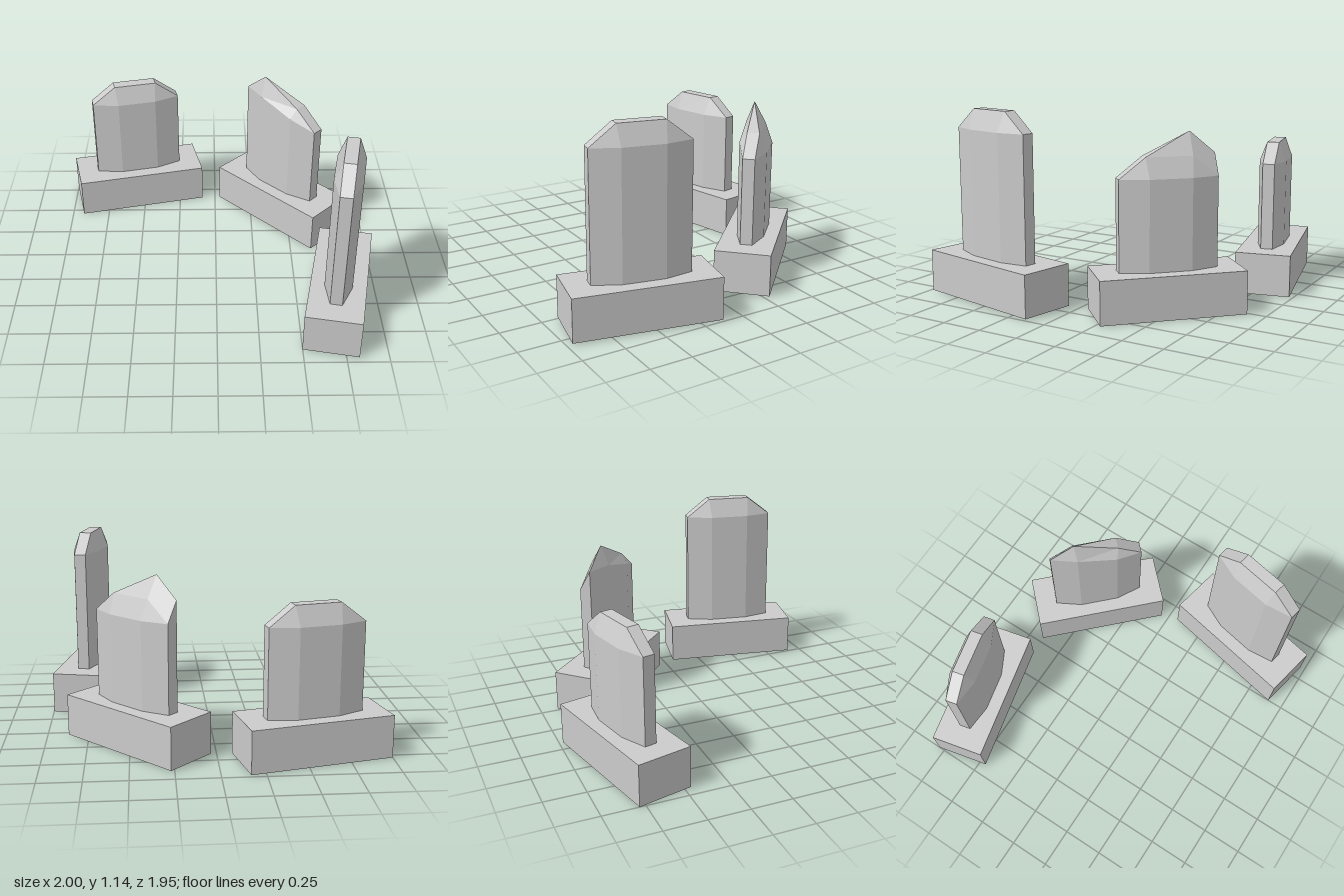
import * as THREE from 'three';

const material = new THREE.MeshStandardMaterial({ color: 0xcccccc, flatShading: true });

const BASE = { length: 0.856, height: 0.255, width: 0.335 };

// Slab plan [x, z], counter-clockwise from above, and the smaller flat at the top
const PLAN = [
  [0.29, 0.036], [0.29, -0.036], [0.125, -0.083], [-0.125, -0.083],
  [-0.29, -0.036], [-0.29, 0.036], [-0.125, 0.083], [0.125, 0.083],
];
const CROWN = [[0.138, 0.037], [0.138, -0.037], [-0.138, -0.037], [-0.138, 0.037]];
const CROWN_OF = [0, 1, 1, 2, 2, 3, 3, 0]; // crown corner above each plan corner

// Upright slab with sloped shoulders; the lift lists raise single corners
function slabGeometry(bottom, shoulder, top, shoulderLift = [], crownLift = []) {
  const low = PLAN.map(([x, z]) => [x, bottom, z]);
  const mid = PLAN.map(([x, z], i) => [x, shoulder + (shoulderLift[i] || 0), z]);
  const crown = CROWN.map(([x, z], i) => [x, top + (crownLift[i] || 0), z]);
  const points = [];
  const tri = (a, b, c) => points.push(...a, ...b, ...c);

  for (let i = 0; i < PLAN.length; i++) {
    const j = (i + 1) % PLAN.length;
    const a = crown[CROWN_OF[i]], b = crown[CROWN_OF[j]];
    // wall
    tri(low[i], low[j], mid[j]);
    tri(low[i], mid[j], mid[i]);
    // shoulder
    tri(mid[i], mid[j], b);
    if (a !== b) tri(mid[i], b, a);
  }
  // flat top
  tri(crown[3], crown[0], crown[1]);
  tri(crown[3], crown[1], crown[2]);

  const geometry = new THREE.BufferGeometry();
  geometry.setAttribute('position', new THREE.Float32BufferAttribute(points, 3));
  geometry.computeVertexNormals();
  return geometry;
}

// Three stones set in an arc; the middle one has a skewed, pointed corner
const STONES = [
  { name: 'lowStone', at: [-0.545, 0, -0.718], turn: 0.224, shoulder: 0.785, top: 0.902 },
  {
    name: 'pointedStone', at: [0.453, 0.002, -0.47], turn: -0.789, shoulder: 0.785, top: 0.903,
    shoulderLift: [0, 0, 0, 0, 0, 0.123, 0.123, 0.055], crownLift: [0, 0, 0, 0.132],
  },
  { name: 'tallStone', at: [0.746, 0.008, 0.516], turn: -1.772, shoulder: 1.012, top: 1.132 },
];

export function createModel() {
  const model = new THREE.Group();
  model.name = 'standingStones';
  for (const s of STONES) {
    const stone = new THREE.Group();
    stone.name = s.name;
    stone.position.set(...s.at);
    stone.rotation.y = s.turn;

    // plinth
    const base = new THREE.Mesh(new THREE.BoxGeometry(BASE.length, BASE.height, BASE.width), material);
    base.name = 'base';
    base.position.y = BASE.height / 2;

    // upright slab
    const slab = new THREE.Mesh(
      slabGeometry(BASE.height, s.shoulder, s.top, s.shoulderLift, s.crownLift), material);
    slab.name = 'slab';

    stone.add(base, slab);
    model.add(stone);
  }
  return model;
}
